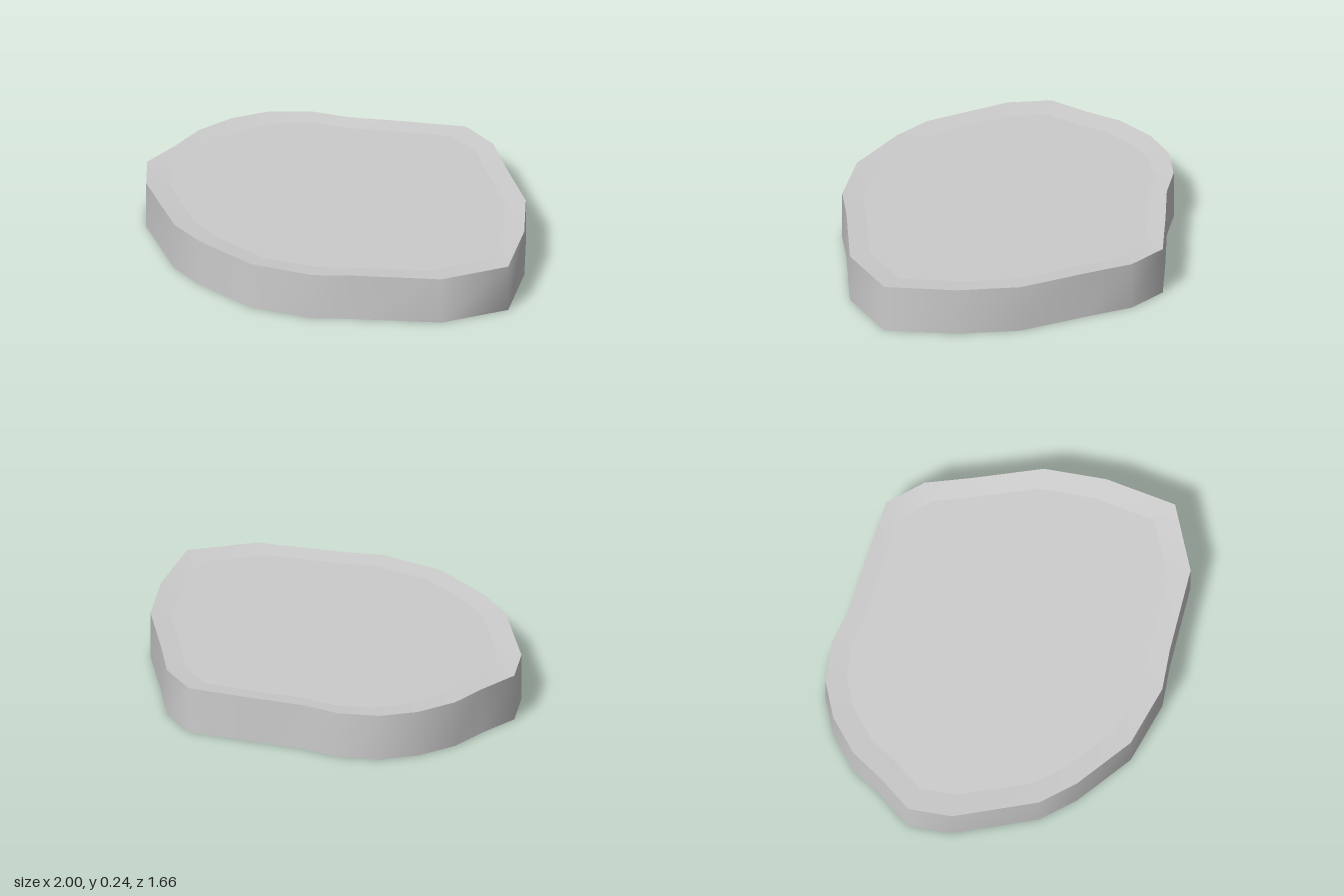
import * as THREE from 'three';

// Outline as [x, z], counter-clockwise seen from above
const OUTLINE = [
  [1, 0.3], [0.915, -0.04], [0.785, -0.315], [0.55, -0.565], [0.395, -0.74], [0.205, -0.83],
  [-0.09, -0.74], [-0.335, -0.66], [-0.52, -0.63], [-0.70, -0.54], [-0.83, -0.40], [-0.92, -0.22],
  [-0.95, -0.04], [-1, 0.16], [-0.91, 0.35], [-0.61, 0.65], [-0.43, 0.74], [-0.11, 0.83],
  [0.2, 0.795], [0.38, 0.71], [0.77, 0.555],
];
const HEIGHT = 0.237;
const DISH = 0.01;
const INNER = 0.88;

const ring = (scale, y) => OUTLINE.map(([x, z]) => [x * scale, y, z * scale]);

// Closed strip between two rings
function band(lower, upper) {
  const n = lower.length;
  const index = [];
  for (let i = 0; i < n; i++) {
    const j = (i + 1) % n;
    index.push(i, j, n + j, i, n + j, n + i);
  }
  const geometry = new THREE.BufferGeometry();
  geometry.setAttribute('position', new THREE.Float32BufferAttribute([...lower, ...upper].flat(), 3));
  geometry.setIndex(index);
  geometry.computeVertexNormals();
  return geometry;
}

export function createModel() {
  const group = new THREE.Group();
  group.name = 'steppingStone';
  const material = new THREE.MeshStandardMaterial({ color: 0xcccccc });
  const add = (name, lower, upper) => {
    const mesh = new THREE.Mesh(band(lower, upper), material);
    mesh.name = name;
    group.add(mesh);
  };

  const floor = ring(1, 0);
  const edge = ring(1, HEIGHT);
  const inner = ring(INNER, HEIGHT - DISH);

  add('sideWall', floor, edge);
  // Rim slopes gently down to the flat middle
  add('topRim', edge, inner);
  add('topFace', inner, ring(0, HEIGHT - DISH));
  add('underside', ring(0, 0), floor);
  return group;
}
